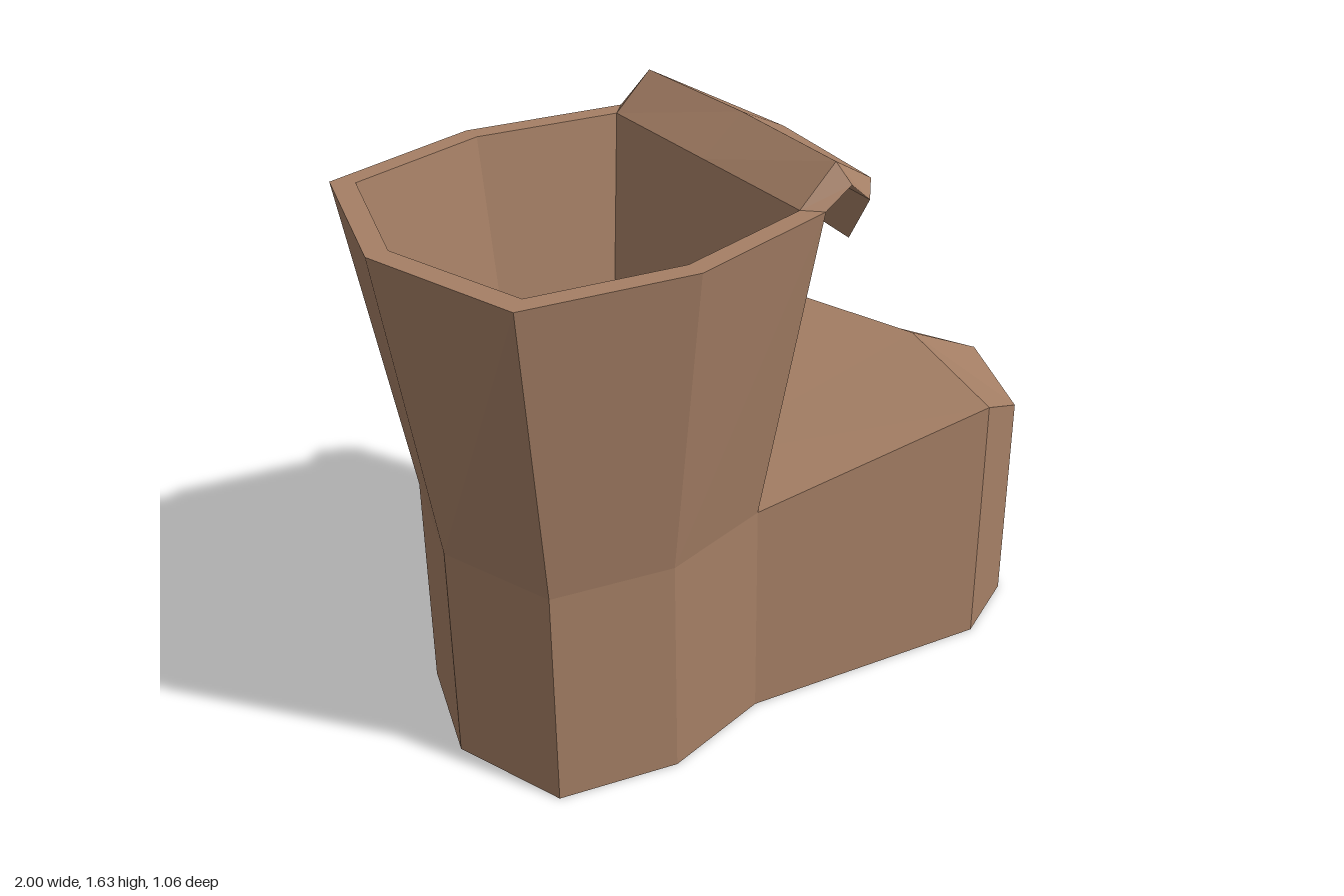
import * as THREE from 'three';

// Faceted geometry: rings of equal length joined in order, with optional end caps.
function loft(rings, capStart, capEnd) {
  const pos = [];
  const tri = (...pts) => pts.forEach((p) => pos.push(...p));
  for (let k = 0; k + 1 < rings.length; k++) {
    const a = rings[k], b = rings[k + 1], n = a.length;
    for (let i = 0; i < n; i++) {
      const j = (i + 1) % n;
      tri(a[i], a[j], b[j]);
      tri(a[i], b[j], b[i]);
    }
  }
  const cap = (ring, flip) => {
    const n = ring.length;
    const mid = [0, 1, 2].map((c) => ring.reduce((s, p) => s + p[c], 0) / n);
    ring.forEach((p, i) => {
      const q = ring[(i + 1) % n];
      if (flip) tri(q, p, mid); else tri(p, q, mid);
    });
  };
  if (capStart) cap(rings[0], true);
  if (capEnd) cap(rings[rings.length - 1], false);
  const geo = new THREE.BufferGeometry();
  geo.setAttribute('position', new THREE.Float32BufferAttribute(pos, 3));
  geo.computeVertexNormals(); // unshared corners give flat facets
  return geo;
}

// Full ring from a half outline (heel to toe) of [x, z, y], mirrored across z = 0.
function ring(half, y) {
  const side = half.map(([x, z, h = y]) => [x, h, z]);
  const other = side.slice(1, -1).reverse().map(([x, h, z]) => [x, h, -z]);
  return [...side, ...other];
}

export function createModel() {
  const group = new THREE.Group();
  group.name = 'boot';
  const leather = new THREE.MeshStandardMaterial({ color: 0xa57f65 });
  leather.name = 'brown leather';
  const add = (name, geo) => {
    const mesh = new THREE.Mesh(geo, leather);
    mesh.name = name;
    group.add(mesh);
  };

  // Foot: upright sides from the sole to the ankle and toe line
  const heel = [[-0.865, 0], [-0.755, 0.33], [-0.425, 0.405], [-0.1, 0.33]];
  const toe = [[0.63, 0.44, 0.77], [0.85, 0.33], [1, 0]];
  const outline = [...heel, ...toe];
  const sole = ring(outline.map(([x, z]) => [x, z]), 0);
  add('foot', loft([sole, ring(outline, 0.65)], true, false));

  // Instep and sloping toe cap, one strip on each side of the centre line
  const ankle = [-0.1, 0.65, 0], peak = [0.735, 0.785, 0], tip = [1, 0.65, 0];
  const top = [];
  for (const s of [1, -1]) {
    const a = [-0.1, 0.65, 0.33 * s], b = [0.63, 0.77, 0.44 * s], c = [0.85, 0.65, 0.33 * s];
    const faces = [[ankle, a, b], [ankle, b, peak], [peak, b, c], [peak, c, tip]];
    for (const [p, q, r] of faces) top.push(...p, ...(s > 0 ? q : r), ...(s > 0 ? r : q));
  }
  const topGeo = new THREE.BufferGeometry();
  topGeo.setAttribute('position', new THREE.Float32BufferAttribute(top, 3));
  topGeo.computeVertexNormals();
  add('instepAndToeCap', topGeo);

  // Flared shaft: outside, rim, inside wall and insole
  const rimY = 1.535;
  add('shaft', loft([
    ring([...heel, [-0.1, 0]], 0.65),
    ring([[-1, 0], [-0.87, 0.44], [-0.425, 0.53], [0.01, 0.44], [0.01, 0]], rimY),
    ring([[-0.94, 0], [-0.82, 0.395], [-0.425, 0.475], [-0.035, 0.395], [-0.035, 0]], rimY),
    ring([[-0.745, 0], [-0.655, 0.225], [-0.425, 0.273], [-0.205, 0.23], [-0.225, 0]], 0.22),
  ], false, true));

  // Tongue folded forward over the rim: [x, y, half width, bulge] of top and underside
  const stations = [
    [[-0.035, 1.535, 0.395, 0], [0.01, 1.535, 0.44, 0]],
    [[0.075, 1.635, 0.395, 0.015], [0.09, 1.585, 0.44, 0.01]],
    [[0.19, 1.563, 0.395, 0.038], [0.15, 1.53, 0.44, 0.02]],
    [[0.272, 1.333, 0.23, 0.043], [0.243, 1.333, 0.26, 0.025]],
  ].map(([[x, y, w, e], [u, v, d, f]]) => [
    [x, y, -w], [x + e, y, 0], [x, y, w],
    [u, v, d], [u + f, v, 0], [u, v, -d],
  ]);
  add('tongue', loft(stations, true, true));

  return group;
}
